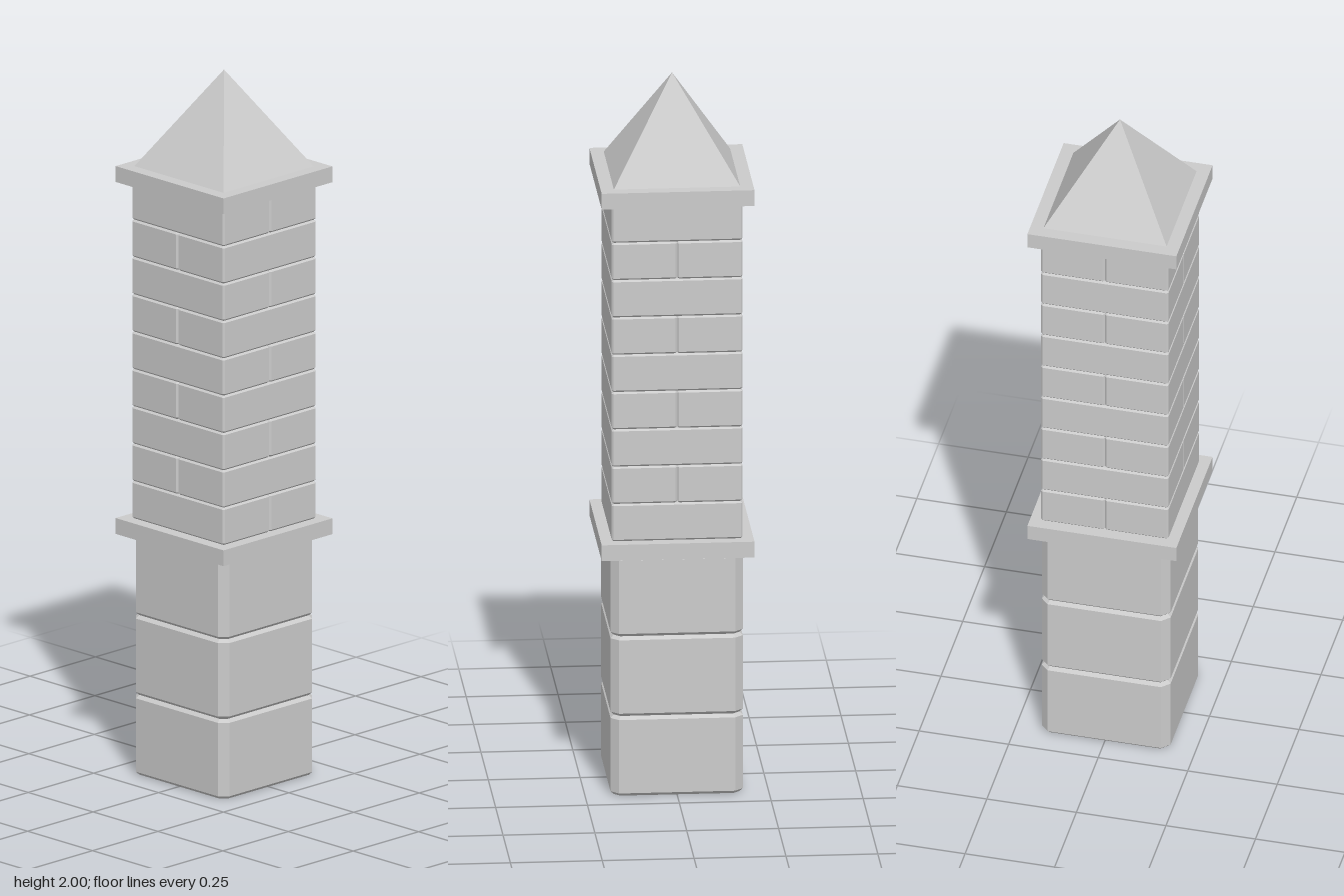
import * as THREE from 'three';

const material = new THREE.MeshStandardMaterial({ color: 0xcccccc, flatShading: true });

// Block standing on y = 0, with chamfered vertical corners and bevelled top and bottom edges
function chamferedBlock(width, height, depth, corner, bevel) {
  const x = width / 2, z = depth / 2;
  const outline = new THREE.Shape([
    [x, corner - z], [x, z - corner], [x - corner, z], [corner - x, z],
    [-x, z - corner], [-x, corner - z], [corner - x, -z], [x - corner, -z],
  ].map(([a, b]) => new THREE.Vector2(a, b)));
  return new THREE.ExtrudeGeometry(outline, {
    depth: height - 2 * bevel,
    bevelThickness: bevel, bevelSize: bevel, bevelOffset: -bevel, bevelSegments: 1,
  }).translate(0, 0, bevel).rotateX(-Math.PI / 2);
}

export function createModel() {
  const model = new THREE.Group();
  const add = (parent, name, geometry, x, y, z) => {
    const mesh = new THREE.Mesh(geometry, material);
    mesh.name = name;
    mesh.position.set(x, y, z);
    parent.add(mesh);
  };

  // Three large foundation stones
  const base = new THREE.Group();
  base.name = 'base';
  model.add(base);
  const stoneHeight = 0.68 / 3;
  const stone = chamferedBlock(0.36, stoneHeight, 0.36, 0.022, 0.009);
  for (let i = 0; i < 3; i++) add(base, 'baseStone', stone, 0, i * stoneHeight, 0);

  // Nine courses of paired bricks, turned a quarter on every other course
  const shaft = new THREE.Group();
  shaft.name = 'brickShaft';
  model.add(shaft);
  const courses = 9, bottom = 0.725, courseHeight = (1.68 - bottom) / courses;
  const brick = chamferedBlock(0.178, courseHeight, 0.356, 0.005, 0.005);
  for (let i = 0; i < courses; i++) {
    const course = new THREE.Group();
    course.name = 'brickCourse';
    course.position.y = bottom + i * courseHeight;
    course.rotation.y = (i % 2) * Math.PI / 2;
    for (const side of [-1, 1]) add(course, 'brick', brick, side * 0.089, 0, 0);
    shaft.add(course);
  }

  // Projecting slabs below and above the brickwork
  const slab = new THREE.BoxGeometry(0.416, 0.045, 0.416);
  add(model, 'lowerLedge', slab, 0, 0.7025, 0);
  add(model, 'upperLedge', slab, 0, 1.7025, 0);

  // Pyramid roof
  const roof = new THREE.ConeGeometry(0.172 * Math.SQRT2, 0.275, 4).rotateY(Math.PI / 4);
  add(model, 'roof', roof, 0, 1.8625, 0);

  return model;
}
